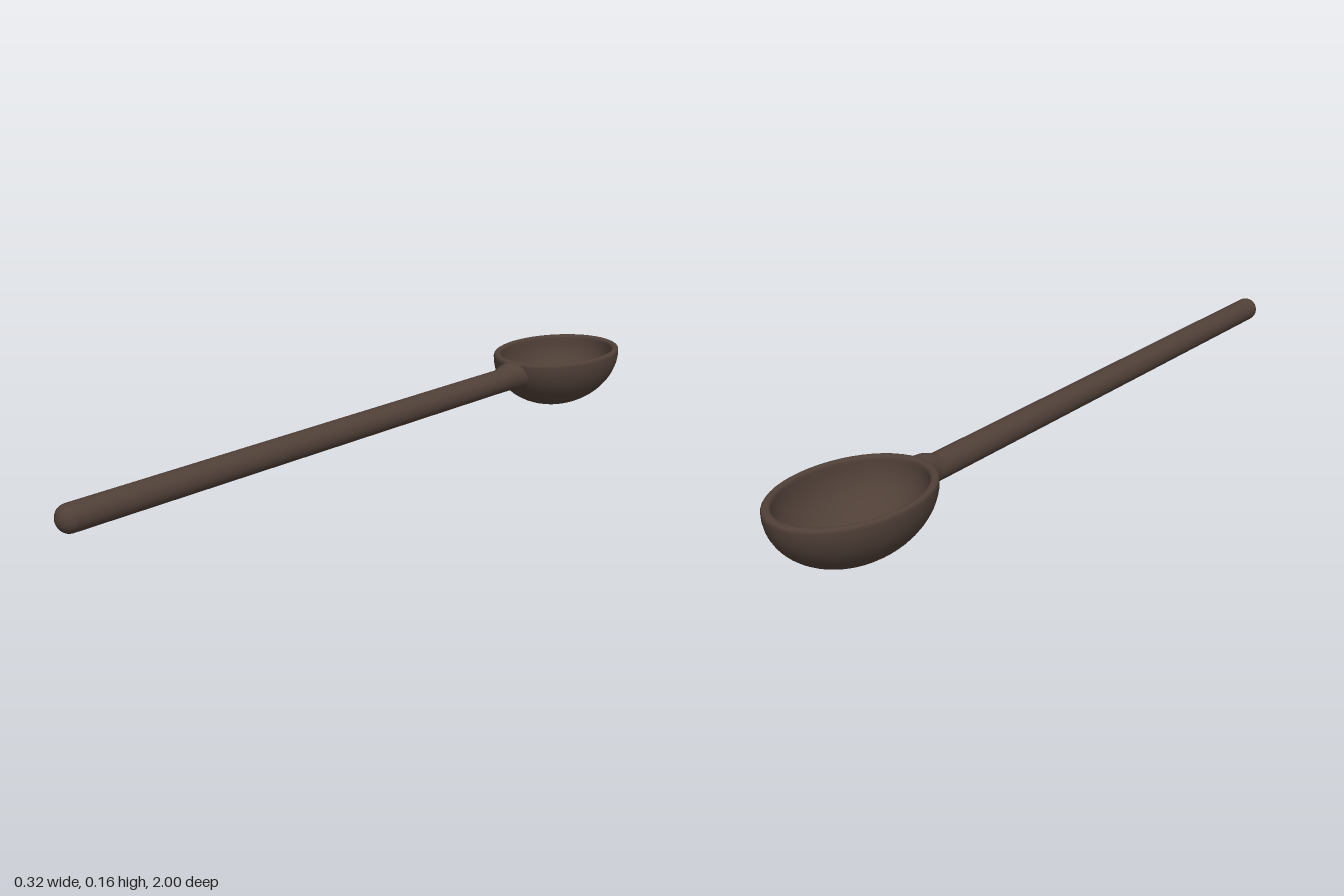
import * as THREE from 'three';

const RX = 0.161, RZ = 0.22, RIM_Y = 0.15, BOWL_Z = -0.78; // bowl half-width, half-length, widest level, centre
const HX = -0.003, HY = 0.115, HR = 0.033;                  // handle axis and radius

const wood = new THREE.MeshStandardMaterial({ color: 0x4f3f37, roughness: 0.8 });

function part(name, geometry) {
  const mesh = new THREE.Mesh(geometry, wood);
  mesh.name = name;
  return mesh;
}

// Quarter ellipse, from the axis out to (rx, cy)
function quarter(rx, depth, cy, n) {
  return Array.from({ length: n + 1 }, (_, i) => {
    const a = (i / n) * Math.PI / 2;
    return new THREE.Vector2(rx * Math.sin(a), cy - depth * Math.cos(a));
  });
}

// Hollow oval bowl: outer wall, rounded rim, inner wall
function makeBowl() {
  const rim = [];
  for (let i = 1; i < 8; i++) {
    const a = (i / 8) * Math.PI;
    rim.push(new THREE.Vector2(0.152 + 0.009 * Math.cos(a), RIM_Y + 0.011 * Math.sin(a) ** 0.7));
  }
  const profile = [
    ...quarter(RX, RIM_Y, RIM_Y, 14),
    ...rim,
    ...quarter(0.143, 0.132, RIM_Y, 14).reverse(),
  ];
  const bowl = part('bowl', new THREE.LatheGeometry(profile, 48));
  bowl.scale.z = RZ / RX;
  bowl.position.z = BOWL_Z;
  return bowl;
}

// Round handle with a domed end
function makeHandle() {
  const profile = [new THREE.Vector2(HR, -0.52), new THREE.Vector2(HR, 0.97)];
  for (let i = 1; i <= 8; i++) {
    const a = (i / 8) * Math.PI / 2;
    profile.push(new THREE.Vector2(HR * Math.cos(a), 0.97 + 0.03 * Math.sin(a)));
  }
  const handle = part('handle', new THREE.LatheGeometry(profile, 32));
  handle.rotation.x = Math.PI / 2;
  handle.position.set(HX, HY, 0);
  return handle;
}

// Neck: handle section flaring until it sinks into the bowl wall
function makeNeck() {
  const rings = 12, sides = 32, pos = [], index = [];
  for (let j = 0; j <= rings; j++) {
    const s = j / rings;
    const rise = THREE.MathUtils.smoothstep(s, 0, 0.65);
    const top = HY + HR + 0.012 * rise, bottom = HY - HR - 0.006 * s ** 3;
    const width = HR + 0.02 * s ** 3;
    for (let i = 0; i < sides; i++) {
      const a = (i / sides) * Math.PI * 2;
      const x = HX * (1 - s) + width * Math.cos(a);
      const y = (top + bottom) / 2 + (top - bottom) / 2 * Math.sin(a);
      const drop = Math.max(0, RIM_Y - y) / RIM_Y;
      const wall = BOWL_Z + 0.96 * RZ * Math.sqrt(1 - drop ** 2 - (x / RX) ** 2);
      pos.push(x, y, THREE.MathUtils.lerp(-0.5, wall, s));
      if (j < rings) {
        const p = j * sides + i, q = j * sides + (i + 1) % sides;
        index.push(p, p + sides, q, q, p + sides, q + sides);
      }
    }
  }
  const geometry = new THREE.BufferGeometry();
  geometry.setAttribute('position', new THREE.Float32BufferAttribute(pos, 3));
  geometry.setIndex(index);
  geometry.computeVertexNormals();
  return part('neck', geometry);
}

export function createModel() {
  const spoon = new THREE.Group();
  spoon.name = 'spoon';
  spoon.add(makeBowl(), makeHandle(), makeNeck());
  return spoon;
}
